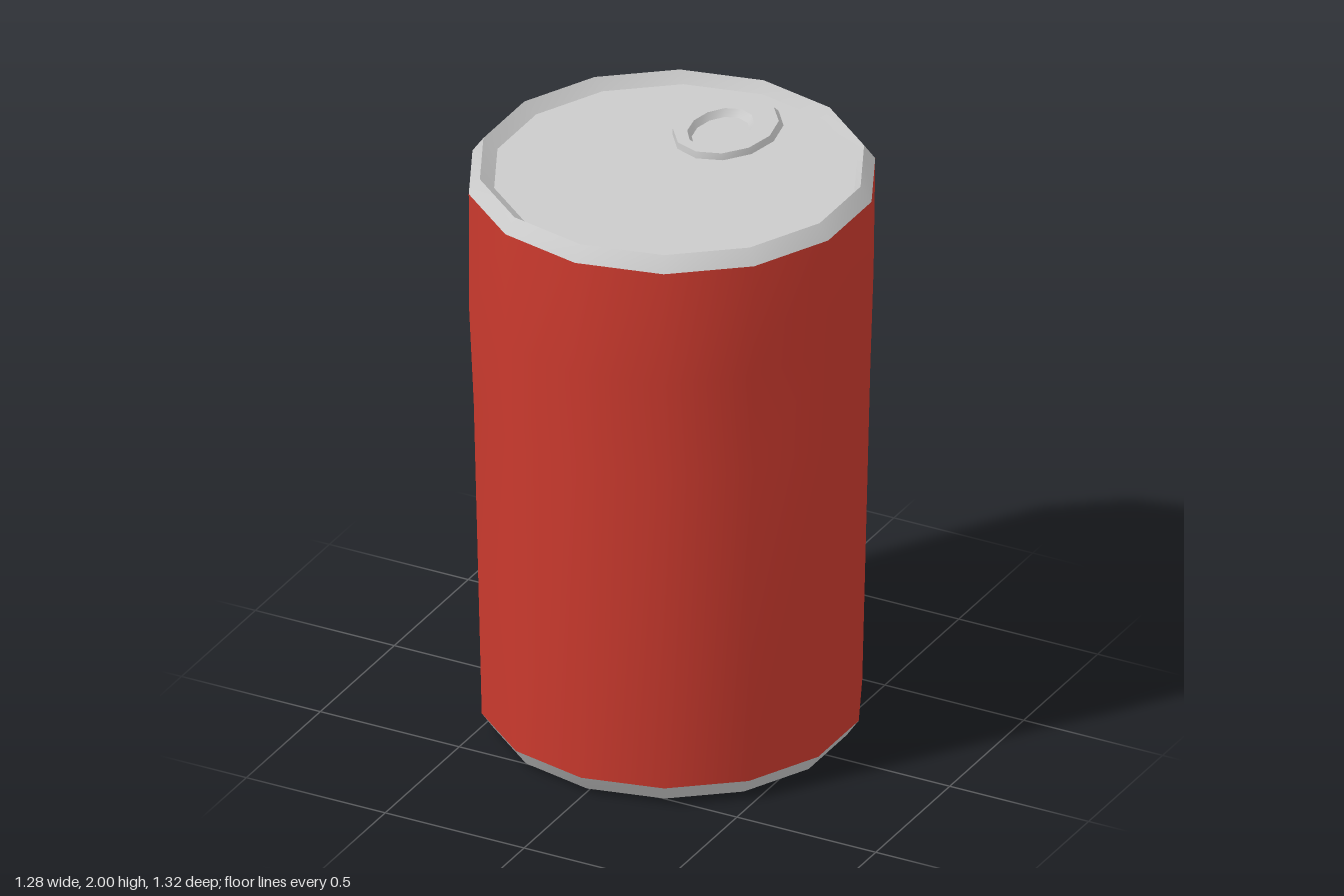
import * as THREE from 'three';

const SIDES = 14;
const grey = new THREE.MeshStandardMaterial({ color: 0xcccccc });
const red = new THREE.MeshStandardMaterial({ color: 0xcc3a2e });

// Smooth band through closed elliptical loops, each given as [y, radiusX, radiusZ, centreX, centreZ].
function band(name, material, sides, loops) {
  const positions = [];
  const index = [];
  for (const [y, rx, rz = rx, cx = 0, cz = 0] of loops) {
    for (let i = 0; i < sides; i++) {
      const a = (i / sides) * Math.PI * 2;
      positions.push(cx + rx * Math.sin(a), y, cz + rz * Math.cos(a));
    }
  }
  for (let j = 0; j < loops.length - 1; j++) {
    for (let i = 0; i < sides; i++) {
      const k = (i + 1) % sides;
      const a = j * sides + i, b = j * sides + k;
      const c = b + sides, d = a + sides;
      index.push(a, b, c);
      if (loops[j + 1][1] > 0) index.push(a, c, d);
    }
  }
  const geometry = new THREE.BufferGeometry();
  geometry.setAttribute('position', new THREE.Float32BufferAttribute(positions, 3));
  geometry.setIndex(index);
  geometry.computeVertexNormals();
  const mesh = new THREE.Mesh(geometry, material);
  mesh.name = name;
  return mesh;
}

export function createModel() {
  const group = new THREE.Group();
  group.name = 'drinkCan';

  // Base: flat floor, narrow foot and chamfer up to the body
  const floor = new THREE.Mesh(new THREE.CircleGeometry(0.53, SIDES, Math.PI / 2), grey);
  floor.rotation.x = Math.PI / 2;
  floor.name = 'baseFloor';
  group.add(
    floor,
    band('baseFoot', grey, SIDES, [[0, 0.53], [0.012, 0.575]]),
    band('baseChamfer', grey, SIDES, [[0.012, 0.575], [0.07, 0.615]]),
  );

  // Tapered body, bulging slightly at the upper front
  group.add(band('body', red, SIDES, [
    [0.07, 0.615],
    [1.2, 0.641],
    [1.55, 0.654, 0.654, 0, 0.005],
    [1.95, 0.657],
  ]));

  // Top rim and slightly off-centre sunken lid
  const lidEdge = [1.96, 0.587, 0.587, 0.006, -0.014];
  group.add(
    band('rimBevel', grey, SIDES, [[1.95, 0.657], [2, 0.621]]),
    band('rimInnerWall', grey, SIDES, [[2, 0.621], lidEdge]),
    band('lid', grey, SIDES, [lidEdge, [1.96, 0, 0, 0.006, -0.014]]),
  );

  // Oval pull tab with a sunken finger hole
  const tab = new THREE.Group();
  tab.name = 'pullTab';
  const outerTop = [1.983, 0.158, 0.203, 0.018, -0.33];
  const innerTop = [1.983, 0.097, 0.138, 0.012, -0.307];
  tab.add(
    band('tabOuterWall', grey, 12, [[1.958, 0.165, 0.218, 0.02, -0.342], outerTop]),
    band('tabFace', grey, 12, [outerTop, innerTop]),
    band('tabHoleWall', grey, 12, [innerTop, [1.958, 0.083, 0.118, 0.012, -0.307]]),
  );
  group.add(tab);
  return group;
}
